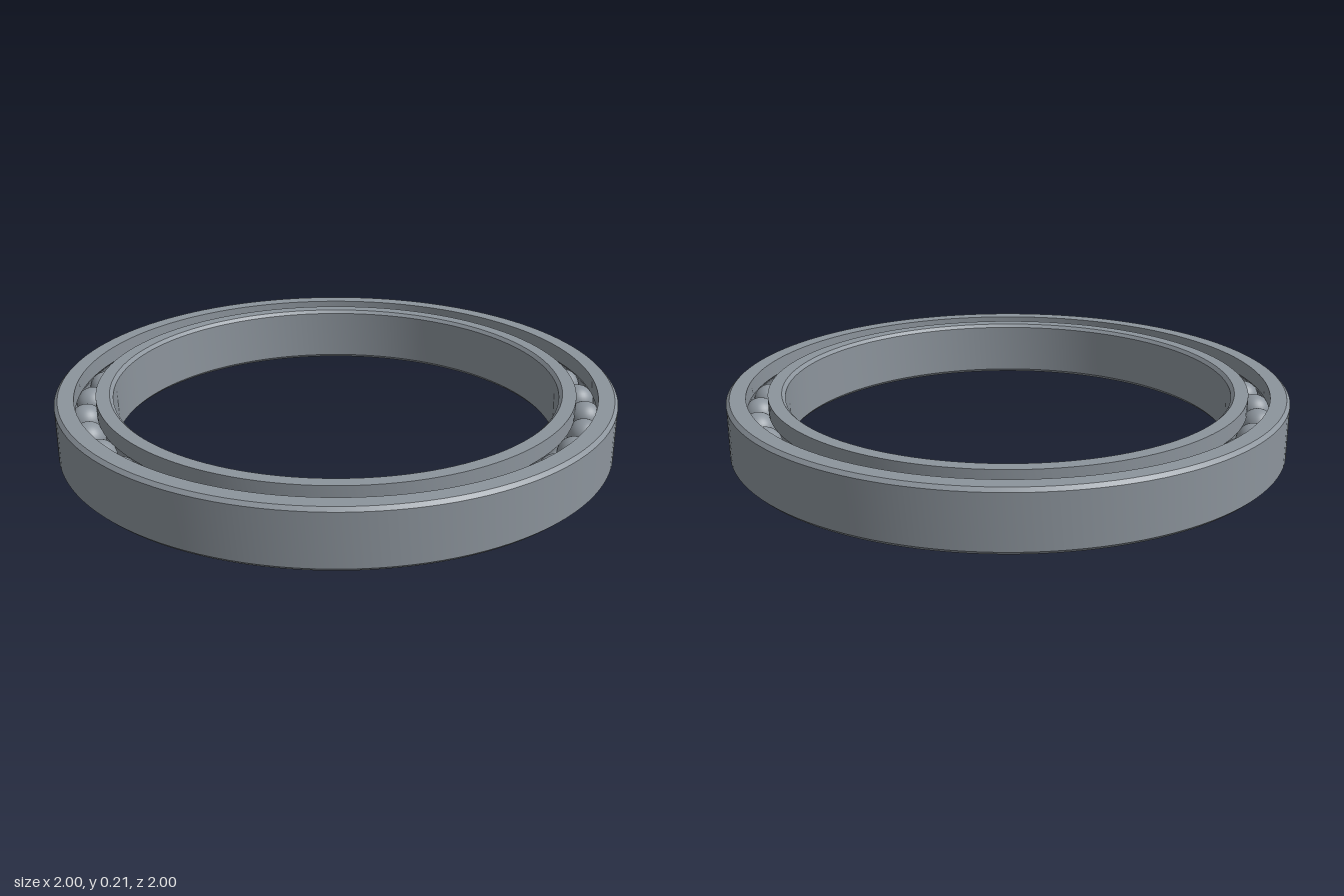
import * as THREE from 'three';
import { toCreasedNormals } from 'three/addons/utils/BufferGeometryUtils.js';

const HEIGHT = 0.21, MID = HEIGHT / 2;
const PITCH = 0.895;      // radius of the circle of ball centres
const BALL = 0.059, GROOVE = 0.06;
const BALLS = 35;
const CHAMFER = 0.012;

// Ring profile: chamfered on the wall side, with a round groove on the race side
function ringGeometry(wall, race) {
  const dir = Math.sign(wall - race);      // +1 for the outer ring, -1 for the inner
  const pts = [
    [race, 0],
    [wall - dir * CHAMFER, 0],
    [wall, CHAMFER],
    [wall, HEIGHT - CHAMFER],
    [wall - dir * CHAMFER, HEIGHT],
    [race, HEIGHT],
  ];
  const half = Math.acos(Math.abs(race - PITCH) / GROOVE);
  const steps = 10;
  for (let i = 0; i <= steps; i++) {
    const a = half - (2 * half * i) / steps;
    pts.push([PITCH + dir * GROOVE * Math.cos(a), MID + GROOVE * Math.sin(a)]);
  }
  pts.push([race, 0]);
  if (dir < 0) pts.reverse();              // keep faces pointing outwards
  const profile = pts.map(([r, y]) => new THREE.Vector2(r, y));
  return toCreasedNormals(new THREE.LatheGeometry(profile, 128), 0.4);
}

export function createModel() {
  const model = new THREE.Group();
  model.name = 'ballBearing';
  const steel = new THREE.MeshStandardMaterial({ color: 0x8c949c });
  steel.name = 'steel';

  // Two races
  const outer = new THREE.Mesh(ringGeometry(1, 0.932), steel);
  outer.name = 'outerRing';
  const inner = new THREE.Mesh(ringGeometry(0.797, 0.857), steel);
  inner.name = 'innerRing';
  model.add(outer, inner);

  // Balls evenly spaced between the races
  const balls = new THREE.Group();
  balls.name = 'balls';
  const sphere = new THREE.SphereGeometry(BALL, 32, 20);
  for (let i = 0; i < BALLS; i++) {
    const a = 0.027 + (i / BALLS) * Math.PI * 2;
    const ball = new THREE.Mesh(sphere, steel);
    ball.name = 'ball';
    ball.position.set(PITCH * Math.cos(a), MID, PITCH * Math.sin(a));
    balls.add(ball);
  }
  model.add(balls);
  return model;
}
